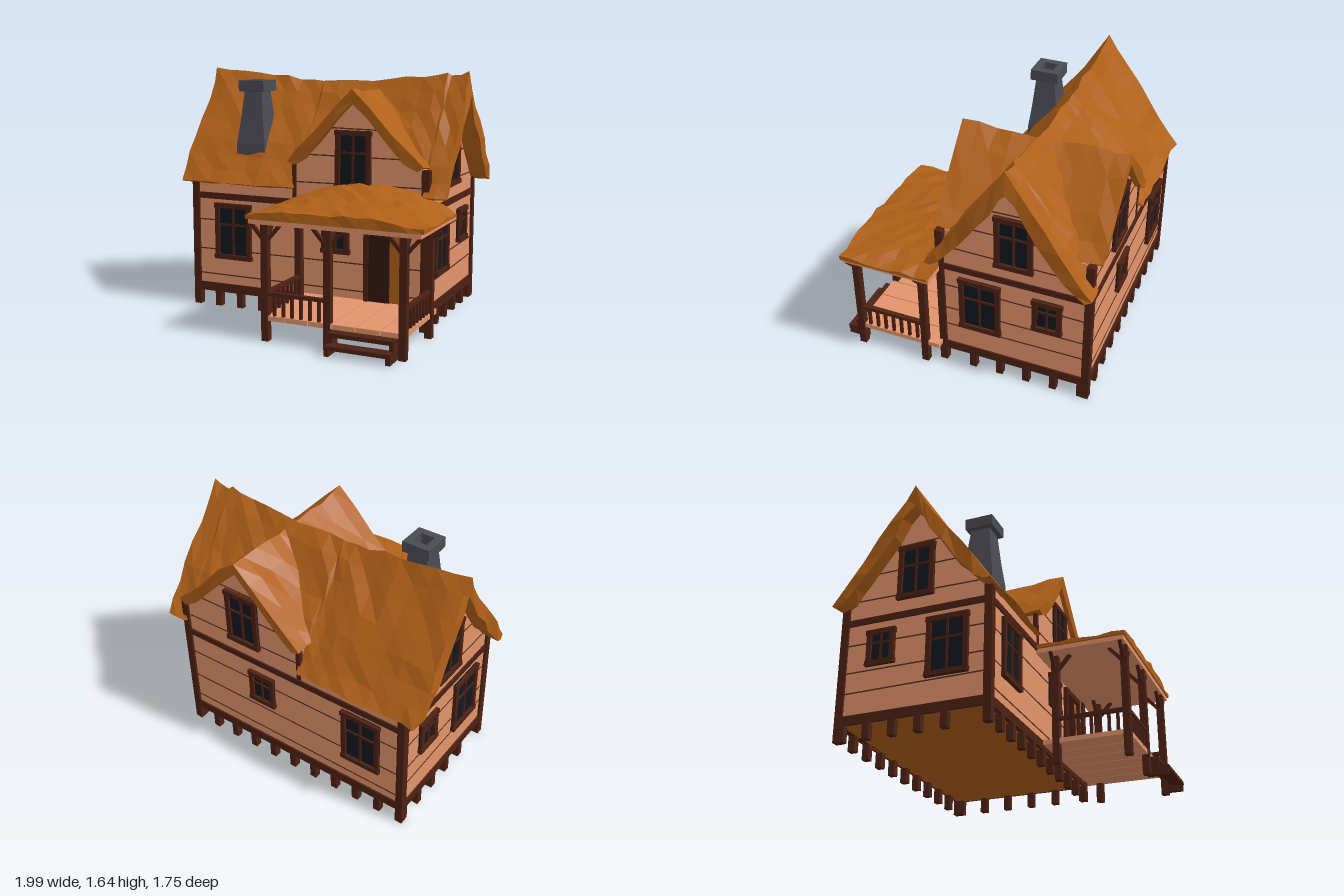
import * as THREE from 'three';

const mat = (color) => new THREE.MeshStandardMaterial({ color, flatShading: true });
const WALL = mat(0xe2936b), WOOD = mat(0x4c2114), ROOF = mat(0xb06018), GLASS = mat(0x12181d);
const STONE = mat(0x4b4b54), DOOR = mat(0x35160c), SEAM = mat(0x5a2f20);
const CZ = -0.32, DX = 0.32; // ridge lines: main roof (z) and cross gable (x)

// repeatable jitter in -1..1
const jit = (a, b, k = 0) => {
  const s = Math.sin(a * 12.99 + b * 78.23 + k * 37.7) * 43758.55;
  return (s - Math.floor(s)) * 2 - 1;
};

function add(parent, name, geo, material) {
  const m = new THREE.Mesh(geo, material);
  m.name = name;
  parent.add(m);
  return m;
}

// box given by its min and max corners
function span(parent, name, material, x0, x1, y0, y1, z0, z1) {
  const m = add(parent, name, new THREE.BoxGeometry(x1 - x0, y1 - y0, z1 - z0), material);
  m.position.set((x0 + x1) / 2, (y0 + y1) / 2, (z0 + z1) / 2);
  return m;
}

function facet(geo) {
  const g = geo.index ? geo.toNonIndexed() : geo;
  g.computeVertexNormals();
  return g;
}

// closed shell from rings; each ring runs along the top skin, then back along the underside
function shell(rings) {
  const n = rings[0].length, h = n / 2, idx = [];
  const quad = (a, b, c, d) => idx.push(a, b, d, a, d, c);
  for (let s = 0; s < rings.length - 1; s++)
    for (let i = 0; i < n; i++) {
      const j = (i + 1) % n;
      quad(s * n + i, s * n + j, (s + 1) * n + i, (s + 1) * n + j);
    }
  const e = (rings.length - 1) * n;
  for (let i = 0; i < h - 1; i++) {
    const o = i, p = i + 1, q = n - 1 - i, r = n - 2 - i;
    quad(o, q, p, r);
    quad(e + o, e + p, e + q, e + r);
  }
  const g = new THREE.BufferGeometry();
  g.setAttribute('position', new THREE.Float32BufferAttribute(rings.flat(2), 3));
  g.setIndex(idx);
  return facet(g);
}

// mirrored ring of [offset, height] from half profiles listed ridge to eave
function gableRing(outer, inner) {
  const full = (p) => [...p.slice(1).reverse().map(([d, y]) => [-d, y]), ...p];
  return [...full(outer), ...full(inner).reverse()];
}

function mainRoof(house) {
  const ring = gableRing(
    [[0, 1.56], [0.07, 1.47], [0.15, 1.36], [0.24, 1.25], [0.33, 1.14], [0.4, 1.04], [0.465, 0.95], [0.535, 0.875]],
    [[0, 1.44], [0.06, 1.36], [0.13, 1.25], [0.21, 1.15], [0.3, 1.03], [0.37, 0.96], [0.43, 0.89], [0.495, 0.86]]);
  const xs = [-0.98, -0.88, -0.76, -0.64, -0.52, -0.4, -0.3, -0.2, -0.13, -0.11,
    0, 0.12, 0.24, 0.36, 0.48, 0.6, 0.7, 0.77, 0.79, 0.86, 0.925];
  const rings = xs.map((x, s) => ring.map(([d, y], i) => {
    const end = s === 0 || s === xs.length - 1;
    const up = (y - 0.86) / 0.7;
    let z = d + jit(s, i) * 0.012;
    if (x > -0.12 && x < 0.78) z = THREE.MathUtils.clamp(z, -0.465, 0.465); // eave stops at the cross gable
    return [x + (end ? jit(s, i, 2) * 0.015 : 0) - (s === 0 ? up * 0.01 : 0),
      y + up * 0.065 * Math.min(1, ((x + 0.05) / 0.85) ** 2) + jit(s, i, 1) * 0.012 * (0.3 + up), CZ + z];
  }));
  add(house, 'mainRoof', shell(rings), ROOF);
}

function crossRoof(house) {
  const ring = gableRing(
    [[0, 1.52], [0.12, 1.41], [0.27, 1.25], [0.38, 1.13], [0.475, 1.045]],
    [[0, 1.44], [0.11, 1.33], [0.24, 1.18], [0.35, 1.07], [0.43, 1.02]]);
  const rings = [];
  for (let s = 0; s <= 10; s++) {
    const z = 0.215 - s * 0.108;
    const lift = 0.02 * ((z - CZ) / 0.54) ** 2 - 0.01;
    rings.push(ring.map(([d, y], i) => [DX - 0.02 * (1 - Math.abs(d) / 0.48) + d + jit(s, i, 5) * 0.008,
      y + lift + jit(s, i, 6) * 0.01, z + jit(s, i, 7) * 0.01]));
  }
  add(house, 'crossGableRoof', shell(rings), ROOF);
}

function porchRoof(porch) {
  const rings = [], N = 7, M = 14;
  for (let s = 0; s <= M; s++) {
    const x = -0.16 + (1.15 * s) / M;
    const arch = Math.pow(Math.sin((Math.PI * s) / M), 0.75);
    const top = [], under = [];
    for (let i = 0; i <= N; i++) {
      const z = 0.17 + (0.605 * i) / N, k = 1 - 0.7 * (i / N);
      top.push([x, 0.785 + 0.15 * arch * k + jit(s, i, 9) * 0.011, z + jit(s, i, 8) * 0.008]);
      under.unshift([x, 0.765, z]);
    }
    rings.push([...top, ...under]);
  }
  add(porch, 'porchRoof', shell(rings), ROOF);
}

// put a +z facing object on one wall: u runs along the wall
function onWall(obj, side, u, y) {
  const [x, z, r] = { front: [u, 0.175, 0], back: [u, -0.815, Math.PI],
    right: [0.805, u, Math.PI / 2], left: [-0.885, u, -Math.PI / 2] }[side];
  obj.position.set(x, y, z);
  obj.rotation.y = r;
}

function windowUnit(house, side, u, y, w, h) {
  const g = new THREE.Group(), f = 0.032;
  g.name = side + 'Window';
  span(g, 'glass', GLASS, -w / 2, w / 2, -h / 2, h / 2, -0.01, 0.008);
  for (const s of [-1, 1]) {
    const a = s * (w - f) / 2, b = s * (h - f) / 2;
    span(g, 'frameSide', WOOD, a - f / 2, a + f / 2, -h / 2, h / 2, -0.01, 0.024);
    span(g, 'frameRail', WOOD, -w / 2 - 0.005, w / 2 + 0.005, b - f / 2, b + f / 2, -0.01, 0.028);
  }
  span(g, 'mullion', WOOD, -0.007, 0.007, -h / 2, h / 2, 0, 0.017);
  span(g, 'crossbar', WOOD, -w / 2, w / 2, h * 0.1, h * 0.1 + 0.014, 0, 0.017);
  onWall(g, side, u, y);
  house.add(g);
}

function seam(house, side, u, y, w, tilt) {
  const m = add(house, 'plankSeam', new THREE.BoxGeometry(w, 0.008, 0.006), SEAM);
  onWall(m, side, u, y);
  m.rotateZ(tilt);
}

function walls(house) {
  const poly = (pts) => new THREE.Shape(pts.map(([x, y]) => new THREE.Vector2(x, y)));
  const body = poly([[-0.495, 0.11], [0.495, 0.11], [0.495, 0.87], [0.33, 1.08], [0.15, 1.31], [0, 1.49],
    [-0.15, 1.31], [-0.33, 1.08], [-0.495, 0.87]]);
  const main = add(house, 'mainWalls', new THREE.ExtrudeGeometry(body, { depth: 1.69, bevelEnabled: false })
    .rotateY(Math.PI / 2), WALL);
  main.position.set(-0.885, 0, CZ);
  const gable = poly([[-0.44, 0.8], [0.46, 0.8], [0.46, 1.03], [0, 1.46], [-0.44, 1.03]]);
  add(house, 'crossGableWalls', new THREE.ExtrudeGeometry(gable, { depth: 0.99, bevelEnabled: false }), WALL)
    .position.set(DX, 0, -0.815);
  span(house, 'underFloor', ROOF, -0.88, 0.8, 0.1, 0.112, -0.81, 0.17);

  for (const side of ['front', 'back']) {
    windowUnit(house, side, -0.583, 0.535, 0.275, 0.39);
    windowUnit(house, side, 0.182, 0.575, 0.195, 0.235);
    windowUnit(house, side, 0.305, 1.08, 0.245, 0.38);
    [0.22, 0.4, 0.61].forEach((y, i) => seam(house, side, -0.04, y, 1.66, 0.005 * (i - 1)));
    [[0.92, 0.88], [1.1, 0.74], [1.28, 0.36]].forEach(([y, w], i) => seam(house, side, DX, y, w, 0.012 * (1 - i)));
  }
  for (const side of ['left', 'right']) {
    windowUnit(house, side, -0.098, 0.52, 0.275, 0.39);
    windowUnit(house, side, -0.545, 0.58, 0.19, 0.235);
    windowUnit(house, side, -0.327, 1.065, 0.245, 0.37);
    [0.31, 0.44, 0.62].forEach((y, i) => seam(house, side, CZ, y, 0.97, 0.01 * (1 - i)));
    [[0.92, 0.84], [1.1, 0.56], [1.27, 0.3]].forEach(([y, w], i) => seam(house, side, CZ, y, w, 0.015 * (i - 1)));
  }
}

function timbers(house) {
  const post = (x, z, y0, y1, w = 0.05) =>
    span(house, 'post', WOOD, x - w / 2, x + w / 2, y0, y1, z - w / 2, z + w / 2);
  for (const z of [0.165, -0.805]) {
    post(-0.875, z, 0, 0.88);
    post(0.795, z, 0, 1.04);
    post(-0.118, z, 0.77, 1.05, 0.03);
    for (const [y0, y1] of [[0.1, 0.16], [0.755, 0.797]])
      span(house, 'wallBeam', WOOD, -0.88, 0.8, y0, y1, z - 0.021, z + 0.021);
    for (let i = 1; i < 10; i++) post(-0.875 + i * 0.167, z, 0, 0.11, 0.045);
  }
  [-0.875, 0.795].forEach((x, k) => {
    for (const [y0, y1] of [[0.1, 0.16], [0.755, 0.797]])
      span(house, 'sideBeam', WOOD, x - 0.021, x + 0.021, y0, y1, -0.8, 0.16);
    for (let i = 1; i < 6; i++) post(x, (k ? 0.14 : 0.065) - i * (k ? 0.183 : 0.17), 0, 0.11, 0.045);
  });
}

function door(house) {
  const g = new THREE.Group();
  g.name = 'door';
  span(g, 'doorway', ROOF, 0.41, 0.66, 0.16, 0.67, 0.17, 0.18);
  for (let i = 0; i < 8; i++)
    span(g, 'doorPlank', DOOR, 0.415, 0.56, 0.163 + i * 0.063, 0.22 + i * 0.063, 0.17, 0.192);
  span(g, 'doorBack', DOOR, 0.415, 0.56, 0.16, 0.67, 0.17, 0.187);
  span(g, 'doorJamb', WOOD, 0.385, 0.418, 0.16, 0.7, 0.17, 0.2);
  span(g, 'doorJamb', WOOD, 0.64, 0.675, 0.16, 0.7, 0.17, 0.2);
  span(g, 'doorLintel', WOOD, 0.385, 0.675, 0.665, 0.705, 0.17, 0.202);
  house.add(g);
}

function porch(house) {
  const p = new THREE.Group();
  p.name = 'porch';
  house.add(p);
  porchRoof(p);
  span(p, 'porchCeiling', WALL, -0.145, 0.97, 0.735, 0.768, 0.17, 0.765);
  for (let i = 0; i < 6; i++)
    span(p, 'floorBoard', WALL, -0.06 + i * 0.157, 0.091 + i * 0.157, 0.132, 0.163, 0.17, 0.755);

  // posts with diagonal braces
  for (const [x, z] of [[-0.04, 0.738], [0.38, 0.738], [0.862, 0.738], [-0.04, 0.272], [0.862, 0.272]]) {
    span(p, 'porchPost', WOOD, x - 0.023, x + 0.023, 0, 0.737, z - 0.023, z + 0.023);
    for (const s of [-1, 1]) {
      const b = add(p, 'brace', new THREE.BoxGeometry(0.022, 0.14, 0.022), WOOD);
      b.position.set(x + s * 0.055, 0.685, z);
      b.rotation.z = -s * 0.72;
    }
    const t = z > 0.5 ? -1 : 1;
    const b = add(p, 'brace', new THREE.BoxGeometry(0.022, 0.14, 0.022), WOOD);
    b.position.set(x, 0.685, z + t * 0.055);
    b.rotation.x = t * 0.72;
  }

  // railings
  span(p, 'frontRail', WOOD, -0.04, 0.38, 0.29, 0.312, 0.722, 0.754);
  for (let i = 1; i < 7; i++)
    span(p, 'baluster', WOOD, -0.049 + i * 0.06, -0.031 + i * 0.06, 0.16, 0.295, 0.729, 0.747);
  for (const x of [-0.04, 0.862]) {
    span(p, 'sideRail', WOOD, x - 0.016, x + 0.016, 0.29, 0.312, 0.27, 0.74);
    for (let i = 1; i < 8; i++)
      span(p, 'baluster', WOOD, x - 0.009, x + 0.009, 0.16, 0.295, 0.263 + i * 0.058, 0.281 + i * 0.058);
  }

  // steps
  for (const x of [0.41, 0.8]) {
    span(p, 'stepSide', WOOD, x, x + 0.03, 0, 0.045, 0.73, 0.87);
    span(p, 'stepSide', WOOD, x, x + 0.03, 0.045, 0.11, 0.73, 0.81);
  }
  span(p, 'lowerTread', WOOD, 0.41, 0.83, 0.042, 0.066, 0.79, 0.875);
  span(p, 'upperTread', WOOD, 0.41, 0.83, 0.102, 0.128, 0.72, 0.812);
}

// square stone chimney with a hollow top
function chimney(house) {
  const profile = [[0.11, 0.98], [0.107, 1.13], [0.086, 1.29], [0.066, 1.485], [0.095, 1.49], [0.095, 1.563],
    [0.046, 1.563], [0.046, 1.44], [0, 1.44]].map(([r, y]) => new THREE.Vector2(r * Math.SQRT2, y));
  const geo = facet(new THREE.LatheGeometry(profile, 4).rotateY(Math.PI / 4));
  add(house, 'chimney', geo, STONE).position.set(-0.508, 0, -0.045);
}

export function createModel() {
  const house = new THREE.Group();
  house.name = 'house';
  walls(house);
  timbers(house);
  door(house);
  mainRoof(house);
  crossRoof(house);
  porch(house);
  chimney(house);
  return house;
}
